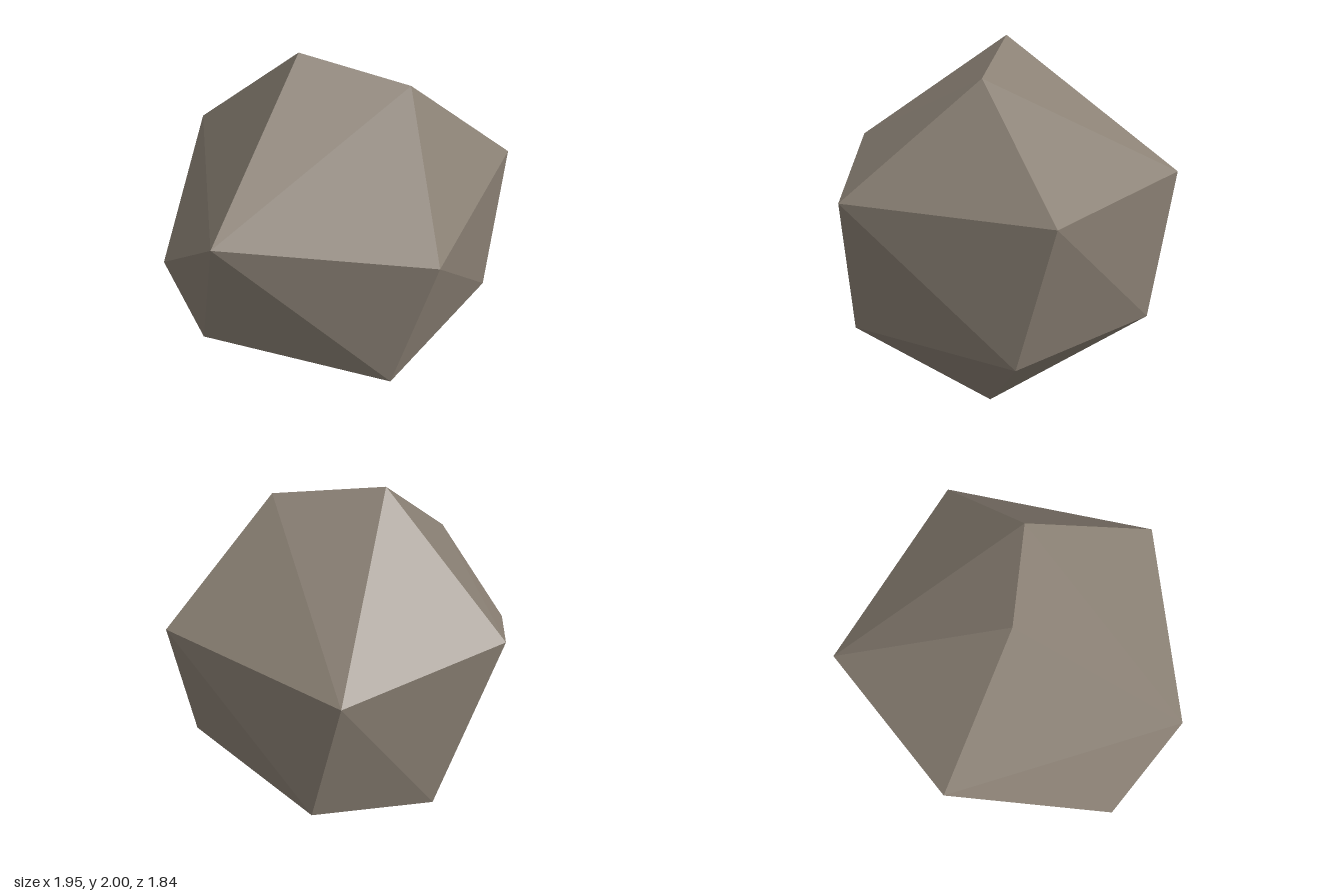
import * as THREE from 'three';
import { ConvexGeometry } from 'three/addons/geometries/ConvexGeometry.js';

// Corners of the boulder, from the peak down to the foot
const CORNERS = [
  // peak ridge
  [-0.16, 2.0, -0.16], [0.32, 1.9, 0.19],
  // upper ring
  [0.97, 1.3, 0.08], [0.19, 1.3, 0.92], [-0.83, 1.34, 0.45],
  [-0.54, 1.345, -0.79], [0.42, 1.3, -0.92],
  // bulge on the side
  [-0.98, 0.95, -0.04],
  // lower ring
  [0.81, 0.51, 0.22], [0, 0.51, 0.8], [-0.8, 0.37, -0.035],
  [-0.21, 0.345, -0.715], [0.5, 0.51, -0.72],
  // foot
  [0.17, 0, 0.08],
];

export function createModel() {
  const group = new THREE.Group();
  group.name = 'rock';

  const stone = new THREE.MeshStandardMaterial({ color: 0x8a8074, flatShading: true });
  stone.name = 'stone';

  // Faceted boulder: the hull stretched over the corners
  const points = CORNERS.map((p) => new THREE.Vector3(...p));
  const boulder = new THREE.Mesh(new ConvexGeometry(points), stone);
  boulder.name = 'boulder';
  group.add(boulder);

  return group;
}
